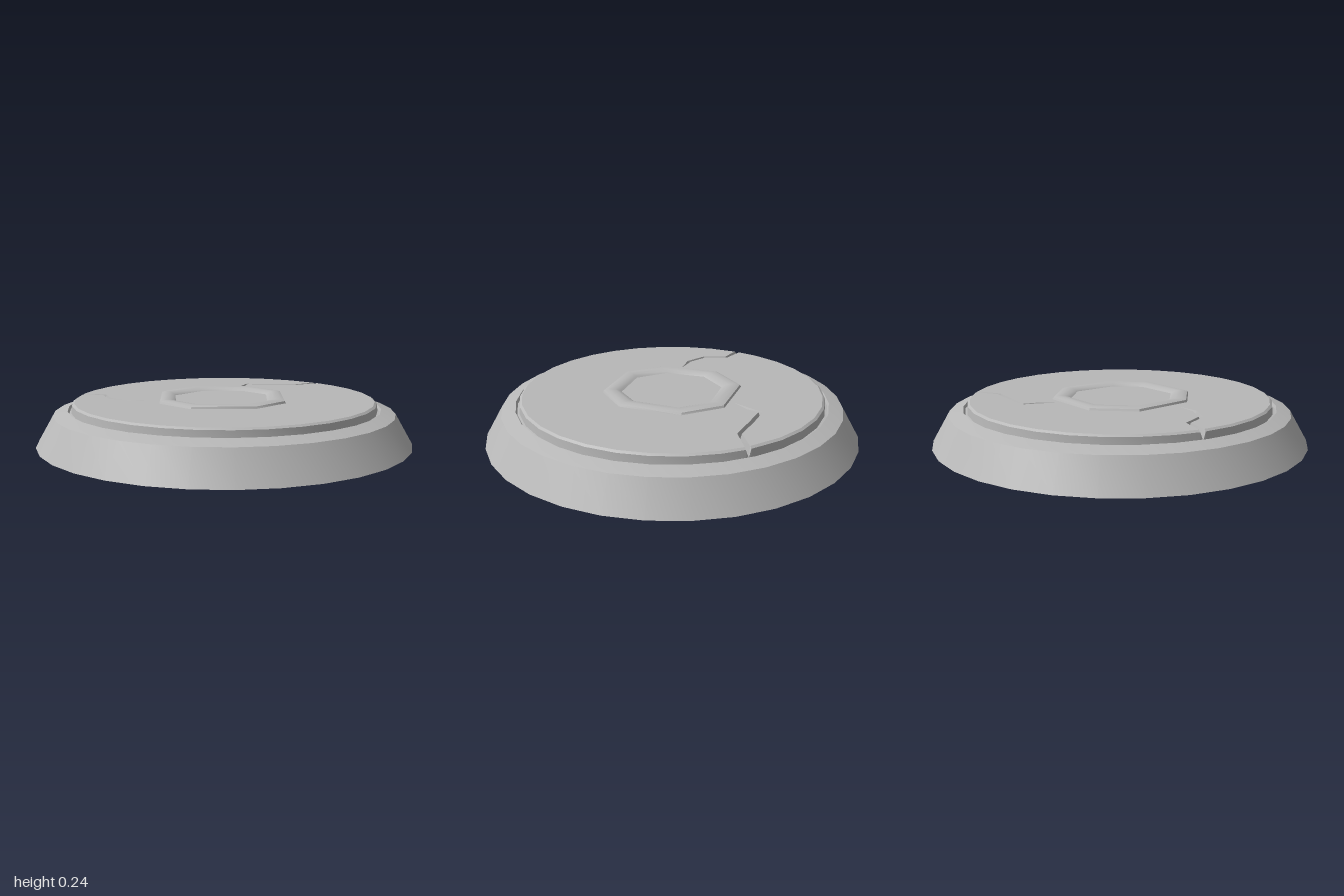
import * as THREE from 'three';
import { toCreasedNormals } from 'three/addons/utils/BufferGeometryUtils.js';

const TOP = 0.222;      // height of the top plate
const FLOOR = 0.172;    // bottom of the groove around it
const SIDES = 32;

const stone = new THREE.MeshStandardMaterial({ color: 0xb8b8b8, side: THREE.DoubleSide });
stone.name = 'grey stone';

const V = (x, y, z) => new THREE.Vector3(x, y, z);
const polar = (a, r, y) => V(Math.cos(a) * r, y, Math.sin(a) * r);

function part(name, geometry, crease = 0.4) {
  const mesh = new THREE.Mesh(toCreasedNormals(geometry, crease), stone);
  mesh.name = name;
  return mesh;
}

// Surface stretched between rows of points of equal length
function loft(rows) {
  const n = rows[0].length, index = [];
  for (let r = 0; r < rows.length - 1; r++) {
    for (let i = 0; i < n - 1; i++) {
      const a = r * n + i, b = a + n;
      index.push(a, a + 1, b, a + 1, b + 1, b);
    }
  }
  const g = new THREE.BufferGeometry().setFromPoints(rows.flat());
  g.setIndex(index);
  return g;
}

// Flat horizontal face from an outline, with an optional hole
function flat(points, y, hole) {
  const to2 = (p) => new THREE.Vector2(p.x, -p.z);
  const shape = new THREE.Shape(points.map(to2));
  if (hole) shape.holes.push(new THREE.Path(hole.map(to2)));
  return new THREE.ShapeGeometry(shape).rotateX(-Math.PI / 2).translate(0, y, 0);
}

// Rim of the top plate, from the top edge down into the groove: radius, height
const RIM = [[0.798, TOP], [0.81, 0.213], [0.814, FLOOR]];

// One crack: centre line from its tip to the rim, with its two upper edges
function makeCrack(path, turn) {
  const centre = path.map(([x, z], i) =>
    V(x, TOP - (i ? 0.018 + 0.032 * i / (path.length - 1) : 0), z));
  const end = centre[centre.length - 1];
  const angle = Math.atan2(end.z, end.x);
  const half = 0.018;
  const side = (s) => {
    const edge = centre.slice(0, -1).map((p, i) => {
      if (i === 0) return V(p.x, TOP, p.z);
      const d = centre[i + 1].clone().sub(centre[i - 1]).setY(0).normalize();
      return V(p.x - d.z * s * 0.011, TOP, p.z + d.x * s * 0.011);
    });
    edge.push(polar(angle + s * half, ...RIM[0]));
    return edge;
  };
  // Side walls meet in a V, and run down the cut rim at the open end
  const wall = (s) => {
    const upper = [...side(s), ...RIM.slice(1).map(([r, y]) => polar(angle + s * half, r, y))];
    const foot = polar(angle, RIM[2][0], FLOOR);
    const lower = [...centre.slice(0, -1), foot, foot, foot];
    return loft(s > 0 ? [lower, upper] : [upper, lower]);
  };
  return {
    before: side(-1), after: side(1),
    start: angle + turn - half, stop: angle + turn + half,
    walls: [wall(-1), wall(1)],
  };
}

export function createModel() {
  const group = new THREE.Group();
  group.name = 'stonePedestal';

  // Sloped base, shoulder and groove: an open shell
  const profile = [[1, 0], [0.908, 0.16], [0.885, 0.168], [0.833, 0.184], [0.825, 0.17], [0.812, FLOOR]];
  group.add(part('base', new THREE.LatheGeometry(
    profile.map(([r, y]) => new THREE.Vector2(r, y)), SIDES)));

  // Cracks across the top plate
  const rightCrack = makeCrack([[0.31, -0.2], [0.41, -0.22], [0.48, -0.25], [0.56, -0.15],
    [0.66, -0.015], [0.81, 0.03]], 0);
  const backCrack = makeCrack([[-0.32, -0.23], [-0.4, -0.32], [-0.43, -0.44], [-0.37, -0.56],
    [-0.44, -0.69]], Math.PI * 2);
  const cracks = [rightCrack, backCrack];
  cracks.forEach((c) => c.walls.forEach((w) => group.add(part('crackWall', w))));

  // Rim arcs between the cracks, and the plate outline that follows them
  const outline = [];
  const arcs = [[rightCrack, backCrack, 0], [backCrack, rightCrack, Math.PI * 2]];
  for (const [from, to, turn] of arcs) {
    const a0 = from.stop, a1 = to.start + turn;
    const step = Math.PI * 2 / SIDES;
    const angles = [a0];
    for (let k = Math.ceil((a0 + 0.03) / step); k * step < a1 - 0.03; k++) angles.push(k * step);
    angles.push(a1);
    const rows = RIM.map(([r, y]) => angles.map((a) => polar(a, r, y)));
    group.add(part('plateRim', loft(rows)));
    outline.push(...from.after, ...rows[0].slice(1, -1), ...to.before.slice(1).reverse());
  }

  // Slightly uneven octagonal ring in the middle
  const outer = [[-0.13, -0.36], [0.12, -0.36], [0.347, -0.12], [0.338, 0.12],
    [0.09, 0.35], [-0.14, 0.345], [-0.367, 0.11], [-0.362, -0.125]];
  const inner = [[-0.115, -0.26], [0.08, -0.26], [0.252, -0.09], [0.245, 0.09],
    [0.06, 0.25], [-0.105, 0.25], [-0.272, 0.085], [-0.268, -0.1]];
  const octagon = (t, y) => outer.map(([x, z], i) =>
    V(x + (inner[i][0] - x) * t, y, z + (inner[i][1] - z) * t));
  const section = [[0, TOP], [0.06, 0.233], [0.28, 0.24], [0.65, 0.238], [0.92, 0.228], [1, TOP]];
  const ringRows = section.map(([t, y]) => {
    const row = octagon(t, y);
    return [...row, row[0]];
  });
  group.add(part('centreRing', loft(ringRows.reverse()), 0.7));
  group.add(part('centrePanel', flat(octagon(1, TOP), TOP)));
  group.add(part('topPlate', flat(outline, TOP, octagon(0, TOP))));

  return group;
}
